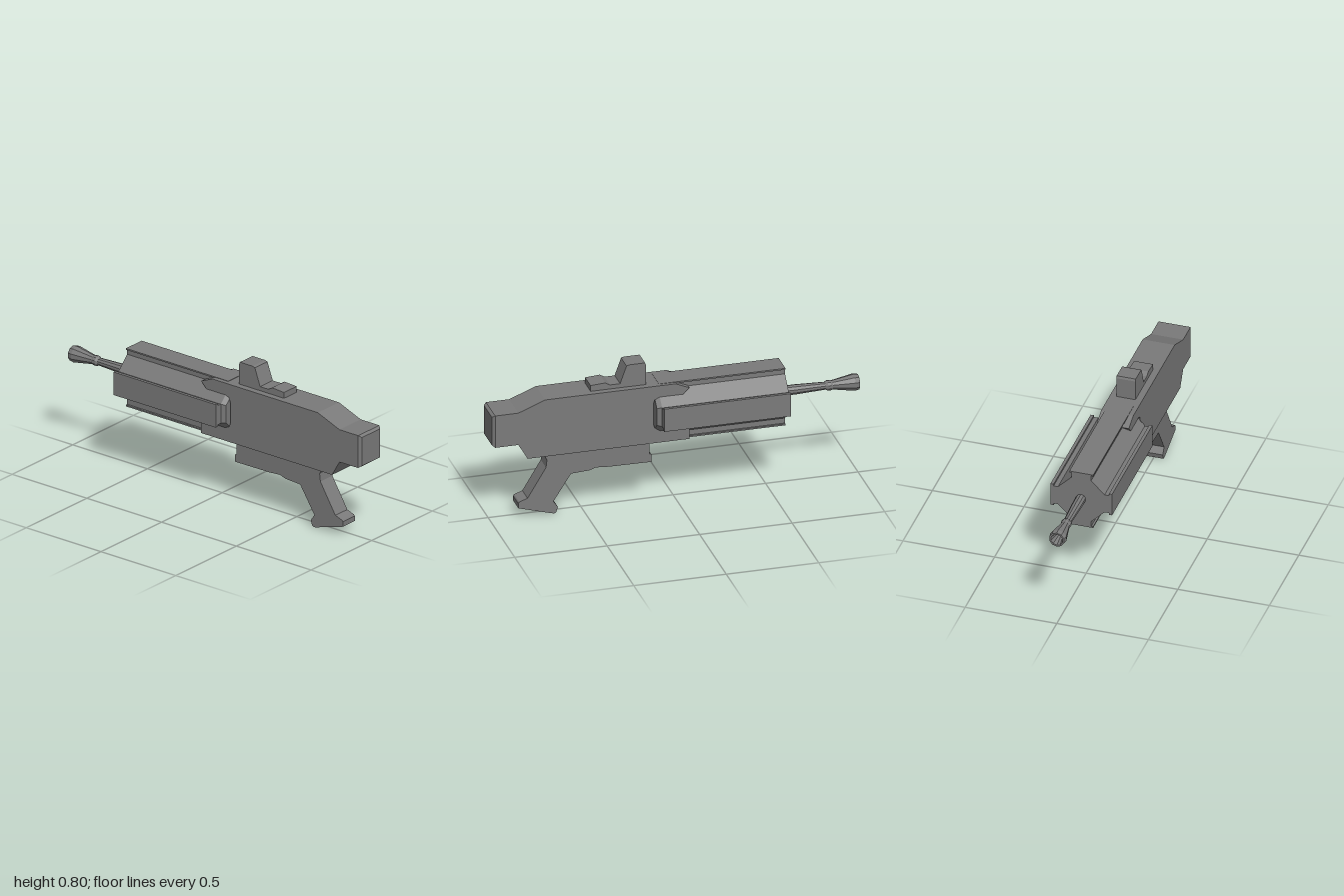
import * as THREE from 'three';

const material = new THREE.MeshStandardMaterial({ color: 0x7a7a7a, flatShading: true });

function addMesh(group, name, geometry) {
  const mesh = new THREE.Mesh(geometry, material);
  mesh.name = name;
  group.add(mesh);
}

const toShape = (points) => new THREE.Shape(points.map(([a, b]) => new THREE.Vector2(a, b)));

// Extrudes a side profile of [z, y] points across x from x0 to x1
function sidePlate(points, x0, x1) {
  const geometry = new THREE.ExtrudeGeometry(toShape(points), { depth: x1 - x0, bevelEnabled: false });
  return geometry.rotateY(-Math.PI / 2).translate(x1, 0, 0);
}

// Scales the rear (+z) end of a geometry to make a taper
function taperRear(geometry, sx, sy) {
  const p = geometry.attributes.position;
  for (let i = 0; i < p.count; i++) {
    if (p.getZ(i) > 0.001) p.setXY(i, p.getX(i) * sx, p.getY(i) * sy);
  }
  geometry.computeVertexNormals();
  return geometry;
}

// Closed section made of four sides in [out, along] points; sides alternate x and y
function fourSided(sideX, sideY) {
  const points = [];
  for (let i = 0; i < 4; i++) {
    const c = [1, 0, -1, 0][i];
    const s = [0, 1, 0, -1][i];
    for (const [a, b] of i % 2 ? sideY : sideX) points.push([a * c - b * s, a * s + b * c]);
  }
  return toShape(points);
}

// One rail of the shroud: a neck that ends in an overhanging lip
const rail = (out, lip) => [
  [0.127, -0.054], [out - lip, -0.054], [out - lip, -0.065], [out, -0.065],
  [out, 0.065], [out - lip, 0.065], [out - lip, 0.054], [0.127, 0.054],
];

export function createModel() {
  const group = new THREE.Group();

  // Receiver, with a forked forward end wrapping the shroud
  addMesh(group, 'receiver', sidePlate([
    [0.985, 0.437], [0.985, 0.62], [0.86, 0.62], [0.715, 0.677],
    [0.01, 0.677], [-0.065, 0.645], [-0.03, 0.61], [0.1, 0.61],
    [0.122, 0.6], [0.13, 0.575], [0.13, 0.46], [0.122, 0.437],
    [0.1, 0.427], [-0.04, 0.427], [-0.065, 0.415], [-0.065, 0.351], [0.81, 0.351], [0.86, 0.437],
  ], -0.093, 0.082));

  // Butt plate with chamfered rear edges
  const butt = taperRear(new THREE.BoxGeometry(0.175, 0.183, 0.015), 0.86, 0.88);
  addMesh(group, 'buttPlate', butt.translate(-0.0055, 0.5285, 0.9925));

  // Raised sight on the top
  addMesh(group, 'sight', sidePlate([
    [0.46, 0.665], [0.46, 0.71], [0.38, 0.715], [0.355, 0.7], [0.3, 0.7],
    [0.265, 0.797], [0.25, 0.802], [0.165, 0.802], [0.16, 0.79], [0.16, 0.665],
  ], -0.057, 0.047));

  // Slanted grip and the lower housing ahead of it
  addMesh(group, 'gripAndLowerHousing', sidePlate([
    [0.72, 0.36], [0.695, 0.312], [0.7, 0.27], [0.8, 0.106], [0.845, 0.09], [0.85, 0.083],
    [0.85, 0.055], [0.67, 0.003], [0.655, 0], [0.645, 0.006], [0.636, 0.035], [0.66, 0.07],
    [0.565, 0.217], [0.465, 0.223], [0.43, 0.235], [0.36, 0.23], [0.13, 0.228],
    [0.13, 0.27], [0.14, 0.275], [0.14, 0.36],
  ], -0.053, 0.046));

  // Shroud: octagonal core with four lipped rails
  const shroud = new THREE.ExtrudeGeometry(fourSided(rail(0.168, 0.017), rail(0.164, 0.008)),
    { depth: 0.685, bevelEnabled: false });
  addMesh(group, 'shroud', shroud.translate(-0.002, 0.515, -0.59));

  // Tapered rear collar of the shroud
  const collarSide = [[0.127, -0.054], [0.127, 0.054]];
  const collar = new THREE.ExtrudeGeometry(fourSided(collarSide, collarSide),
    { depth: 0.025, bevelEnabled: false });
  addMesh(group, 'shroudCollar', taperRear(collar, 0.9, 0.9).translate(-0.002, 0.515, 0.095));

  // Barrel with a flared, hollow muzzle
  const barrelProfile = [
    [0.027, 0.57], [0.027, 0.66], [0.021, 0.82], [0.028, 0.832], [0.028, 0.848],
    [0.025, 0.858], [0.046, 0.975], [0.042, 1], [0.033, 1], [0.018, 0.93], [0, 0.93],
  ].map(([r, y]) => new THREE.Vector2(r, y));
  const barrel = new THREE.LatheGeometry(barrelProfile, 10).rotateX(-Math.PI / 2);
  addMesh(group, 'barrel', barrel.translate(0, 0.52, 0));

  return group;
}
